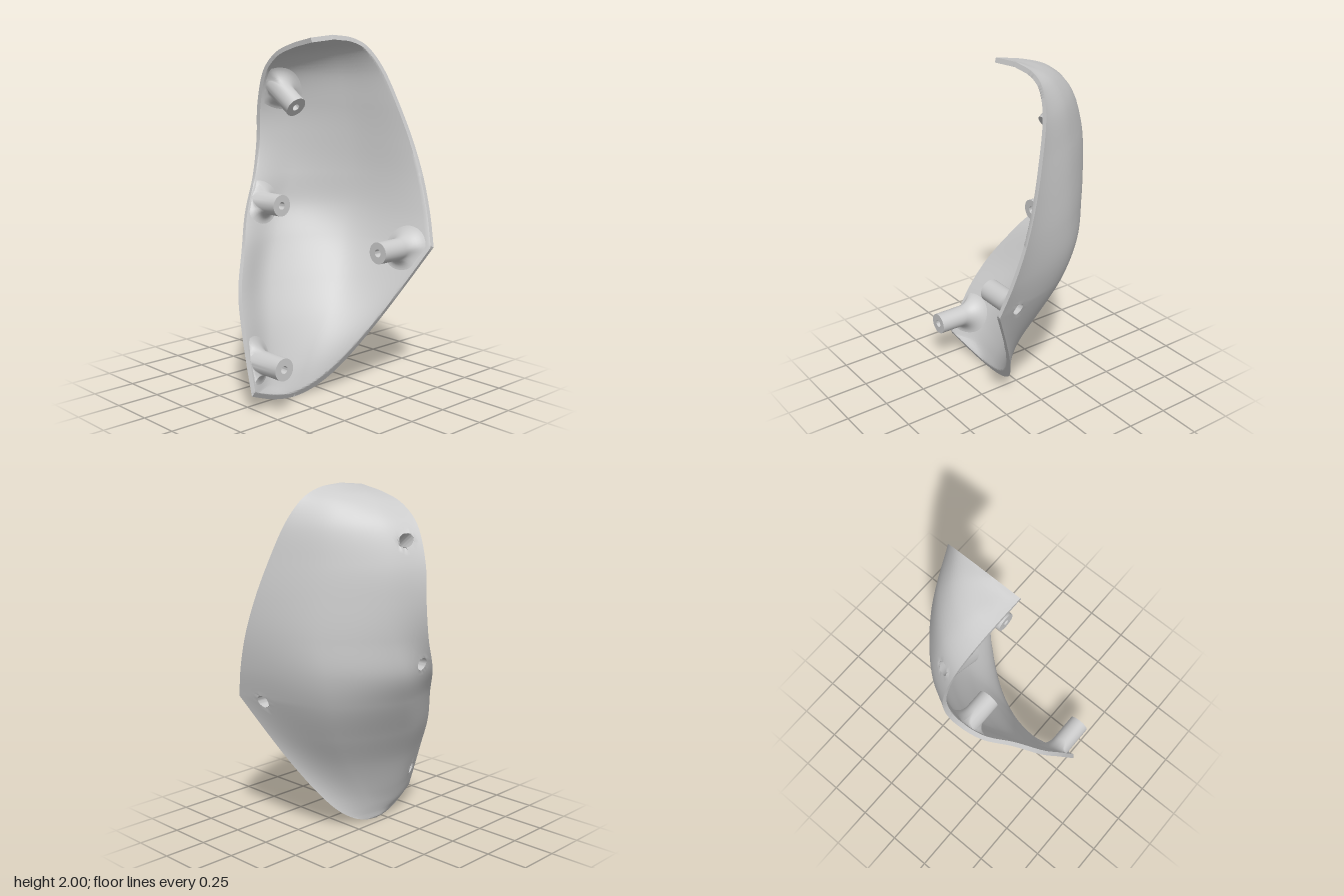
import * as THREE from 'three';
import { toCreasedNormals } from 'three/addons/utils/BufferGeometryUtils.js';

const V = (x, y, z) => new THREE.Vector3(x, y, z);
const material = new THREE.MeshStandardMaterial({ color: 0xcccccc, side: THREE.DoubleSide });
const THICK = 0.026, COLS = 90, SUB = 14, HOLE = 0.036;

// Two straight cuts limit the panel on its +x side
const trimX = (y) => Math.min(0.06 + (2 - y) * 0.339, 0.05 + y * 0.5);

// Horizontal sections: y, front rim x z, two inner points x z, cut edge z
const SECTIONS = [
  [2.0, 0.06, -0.08, 0.06, -0.08, 0.06, -0.08, -0.08],
  [1.985, 0.065, 0.09, 0.025, 0, 0.02, -0.13, -0.22],
  [1.95, -0.11, 0.08, -0.11, -0.05, -0.04, -0.2, -0.31],
  [1.9, -0.25, 0.07, -0.2, -0.08, -0.08, -0.24, -0.365],
  [1.8, -0.37, 0.055, -0.28, -0.115, -0.1, -0.295, -0.425],
  [1.6, -0.45, 0.035, -0.335, -0.14, -0.105, -0.34, -0.485],
  [1.4, -0.46, 0.035, -0.338, -0.16, -0.085, -0.378, -0.525],
  [1.2, -0.435, 0.085, -0.347, -0.14, -0.08, -0.393, -0.54],
  [1.0, -0.37, 0.2, -0.368, -0.055, -0.105, -0.367, -0.525],
  [0.82, -0.25, 0.325, -0.306, 0.04, -0.09, -0.312, -0.49],
  [0.6, -0.13, 0.45, -0.203, 0.175, -0.035, -0.205, -0.385],
  [0.4, -0.025, 0.51, -0.1, 0.265, 0.005, -0.07, -0.28],
  [0.2, 0.06, 0.54, -0.02, 0.33, 0.025, 0.075, -0.15],
  [0.1, 0.1, 0.55, 0.02, 0.36, 0.035, 0.14, -0.06],
  [0.04, 0.07, 0.4, 0.04, 0.28, 0.045, 0.16, 0.03],
  [0.01, 0.055, 0.29, 0.045, 0.235, 0.047, 0.175, 0.115],
  [0.0, 0.05, 0.2, 0.05, 0.2, 0.05, 0.2, 0.2],
];
const ROWS = (SECTIONS.length - 1) * SUB, W = COLS + 1;
const TIP = 1, CORNER = 9, FOOT = 13; // sections where an edge turns sharply

// Screw bosses: centre of the free end, direction towards the skin
const BOSSES = [
  ['upperBoss', V(-0.185, 1.595, -0.03), V(-0.82, 0.57, 0).normalize()],
  ['middleBoss', V(-0.175, 1.045, 0.09), V(-1, 0, 0)],
  ['lowerBoss', V(0.255, 0.265, 0.455), V(-1, 0, 0)],
  ['backBoss', V(0.31, 0.805, -0.19), V(0, 0, -1)],
];

function toGeometry(points, index) {
  const g = new THREE.BufferGeometry().setFromPoints(points);
  g.setIndex(index);
  g.computeVertexNormals();
  return g;
}

function gridIndex(rows, cols, start = 0, flip = false) {
  const out = [];
  for (let i = 0; i < rows; i++) for (let j = 0; j < cols; j++) {
    const a = start + i * (cols + 1) + j, b = a + 1, c = a + cols + 1, d = c + 1;
    if (flip) out.push(a, c, b, b, c, d);
    else out.push(a, b, c, b, d, c);
  }
  return out;
}

function filterTriangles(index, keep) {
  const out = [];
  for (let k = 0; k < index.length; k += 3) {
    const tri = index.slice(k, k + 3);
    if (tri.every(keep)) out.push(...tri);
  }
  return out;
}

// Spline through section points, broken at the given sharp corners
function guide(points, breaks) {
  const stops = [0, ...breaks, points.length - 1];
  const curves = stops.slice(1).map((s, k) => new THREE.CatmullRomCurve3(points.slice(stops[k], s + 1)));
  return (t) => {
    let k = 0;
    while (k < curves.length - 1 && t > stops[k + 1]) k++;
    return curves[k].getPoint((t - stops[k]) / (stops[k + 1] - stops[k]));
  };
}

// Outer skin: long guide curves joined by a spline across each section
function outerPoints() {
  const column = (k) => SECTIONS.map((s) =>
    k < 3 ? V(s[1 + 2 * k], s[0], s[2 + 2 * k]) : V(trimX(s[0]), s[0], s[7]));
  const guides = [[TIP, FOOT], [], [], [CORNER]].map((breaks, k) => guide(column(k), breaks));
  const pts = [];
  for (let i = 0; i <= ROWS; i++) {
    const ends = guides.map((g) => g(i / SUB));
    ends[3].x = trimX(ends[3].y);
    if (i <= TIP * SUB || i >= FOOT * SUB) ends[0].x = trimX(ends[0].y);
    const across = new THREE.CatmullRomCurve3(ends);
    for (let j = 0; j < W; j++) {
      const p = across.getPoint(j / COLS);
      p.x = Math.min(p.x, trimX(p.y));
      pts.push(p);
    }
  }
  return pts;
}

// Inner skin: offset along the normals, kept flush with the straight cuts
// and, along the front rim, level with the outer edge in z
function innerPoints(outer) {
  const normal = toGeometry(outer, gridIndex(ROWS, COLS)).attributes.normal;
  return outer.map((p, k) => {
    const i = Math.floor(k / W), j = k % W;
    const pole = i === 0 || i === ROWS;
    const row = Math.min(Math.max(i, SUB >> 1), ROWS - (SUB >> 1));
    const n = V().fromBufferAttribute(normal, row * W + (pole ? COLS >> 1 : j));
    const q = p.clone().addScaledVector(n, -THICK);
    const onRim = i > TIP * SUB && i < FOOT * SUB;
    const onCut = pole || j === COLS || (j === 0 && !onRim);
    if (onRim) q.z = Math.min(q.z, outer[i * W].z);
    q.x = onCut ? trimX(q.y) : Math.min(q.x, trimX(q.y));
    return q;
  });
}

// Vector from the axis of a boss to a point
function radialFrom(p, base, axis) {
  const rel = p.clone().sub(base);
  return rel.addScaledVector(axis, -rel.dot(axis));
}

// Hollow post with a screw recess and a filleted foot that follows the skin
function bossGeometry(end, axis, toInner, toOuter) {
  const R = 0.062, FILLET = 0.085, BORE = 0.022, SIDES = 32, STEPS = 8;
  const side = V().crossVectors(axis, Math.abs(axis.z) > 0.5 ? V(0, 1, 0) : V(0, 0, 1)).normalize();
  const up = V().crossVectors(axis, side);
  const at = (r, a, d) => end.clone().addScaledVector(side, r * Math.cos(a))
    .addScaledVector(up, r * Math.sin(a)).addScaledVector(axis, d);
  const reach = toInner(end) ?? 0.2, floor = reach - 0.05;
  const rings = 5 + STEPS, pts = [];
  for (let j = 0; j <= SIDES; j++) {
    const a = (j / SIDES) * 2 * Math.PI;
    // Near the rim the fillet shrinks until it lands on the skin
    let f = FILLET;
    while (f > 0.01 && toInner(at(R + f, a, 0)) === null) f -= 0.006;
    const recess = toOuter(at(HOLE, a, 0)) ?? reach + THICK;
    const profile = [[HOLE, recess - 0.001], [HOLE, floor], [BORE, floor], [BORE, 0], [R, 0]];
    for (let k = 0; k <= STEPS; k++) {
      const t = (k / STEPS) * Math.PI / 2;
      const r = R + f * (1 - Math.cos(t));
      const d = (toInner(at(r, a, 0)) ?? reach) - f * (1 - Math.sin(t)) + 0.004;
      profile.push([r, Math.max(0.02, d)]);
    }
    profile.forEach(([r, d], k) => { pts[k * (SIDES + 1) + j] = at(r, a, d); });
  }
  return toCreasedNormals(toGeometry(pts, gridIndex(rings - 1, SIDES)), 0.7);
}

// Distance along an axis to the part of a skin close to one boss
function distanceFinder(points, end, axis) {
  const near = filterTriangles(gridIndex(ROWS, COLS), (k) => points[k].distanceTo(end) < 0.45);
  const target = new THREE.Mesh(toGeometry(points, near), material);
  const ray = new THREE.Raycaster();
  return (from) => {
    ray.set(from, axis);
    const hits = ray.intersectObject(target);
    return hits.length ? hits[0].distance : null;
  };
}

export function createModel() {
  const group = new THREE.Group();
  const outer = outerPoints(), inner = innerPoints(outer);
  const N = outer.length, opened = new Set();

  for (const [name, end, axis] of BOSSES) {
    const toInner = distanceFinder(inner, end, axis), toOuter = distanceFinder(outer, end, axis);
    const boss = new THREE.Mesh(bossGeometry(end, axis, toInner, toOuter), material);
    boss.name = name;
    group.add(boss);

    // Open the skins: a round hole outside, a hidden one inside the post
    const base = end.clone().addScaledVector(axis, toOuter(end) ?? 0.2);
    for (let k = 0; k < N; k++) {
      if (outer[k].distanceTo(base) < 0.12) {
        const radial = radialFrom(outer[k], base, axis), d = radial.length();
        if (d < HOLE * 0.8) opened.add(k);
        else if (d < HOLE * 1.35) outer[k].addScaledVector(radial, HOLE / d - 1);
      }
      if (inner[k].distanceTo(base) < 0.12 && radialFrom(inner[k], base, axis).length() < HOLE) opened.add(N + k);
    }
  }

  // Both skins joined along the front rim and the cut edge
  const index = [...gridIndex(ROWS, COLS), ...gridIndex(ROWS, COLS, N, true)];
  for (let i = 0; i < ROWS; i++) {
    const a = i * W, b = a + W, c = a + COLS, d = c + W;
    index.push(a, b, a + N, b, b + N, a + N);
    index.push(c, c + N, d, d, c + N, d + N);
  }
  const skin = toGeometry([...outer, ...inner], filterTriangles(index, (k) => !opened.has(k)));
  const shell = new THREE.Mesh(toCreasedNormals(skin, 0.7), material);
  shell.name = 'shellPanel';
  group.add(shell);
  return group;
}
